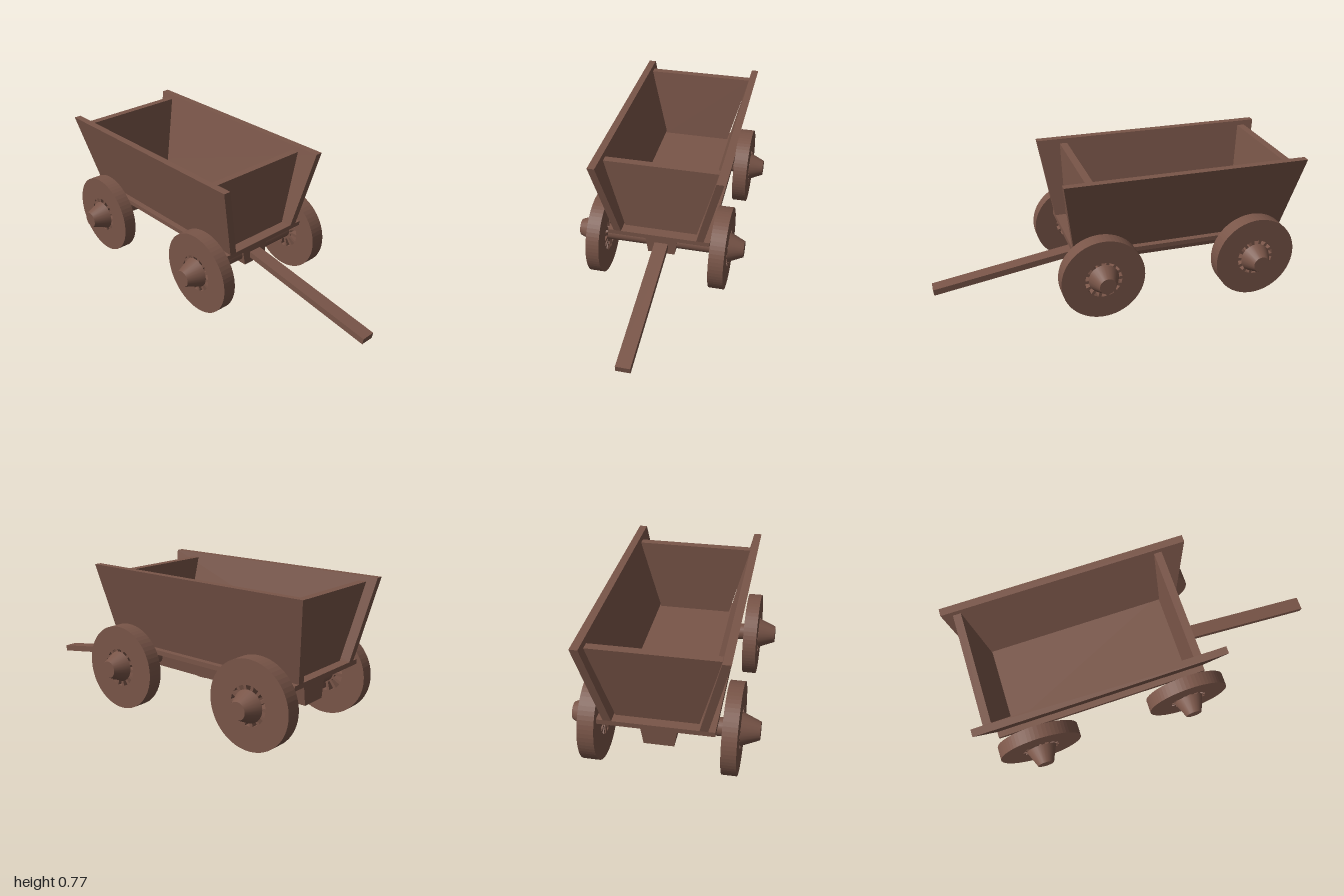
import * as THREE from 'three';

const wood = new THREE.MeshStandardMaterial({ color: 0x795548 });
wood.name = 'brownWood';

const MID_Z = -0.01; // centre line of the cart body

function add(parent, name, geometry) {
  const mesh = new THREE.Mesh(geometry, wood);
  mesh.name = name;
  parent.add(mesh);
  return mesh;
}

function extrude(points, depth) {
  const shape = new THREE.Shape(points.map(([a, b]) => new THREE.Vector2(a, b)));
  return new THREE.ExtrudeGeometry(shape, { depth, bevelEnabled: false });
}

// Lean a board: shift its z in proportion to height above the deck
function lean(geometry, slope, baseY) {
  const p = geometry.attributes.position;
  for (let i = 0; i < p.count; i++) p.setZ(i, p.getZ(i) + slope * (p.getY(i) - baseY));
  geometry.computeVertexNormals();
  return geometry;
}

// Disc with a ring of slots around the hub
function wheelGeometry(width) {
  const shape = new THREE.Shape().absarc(0, 0, 0.228, 0, Math.PI * 2, false);
  const slots = 14;
  for (let i = 0; i < slots; i++) {
    const a = ((i + 0.5) / slots) * Math.PI * 2;
    const polar = (r, t) => new THREE.Vector2(r * Math.cos(a + t), r * Math.sin(a + t));
    shape.holes.push(new THREE.Path([
      polar(0.055, -0.1), polar(0.055, 0.1), polar(0.102, 0.14), polar(0.102, -0.14),
    ]));
  }
  return new THREE.ExtrudeGeometry(shape, { depth: width, bevelEnabled: false, curveSegments: 32 });
}

export function createModel() {
  const cart = new THREE.Group();
  cart.name = 'woodenCart';

  // Deck
  add(cart, 'deck', new THREE.BoxGeometry(1.19, 0.025, 0.562)).position.set(-0.335, 0.3325, MID_Z);

  // Flared side boards
  const sideOutline = [[-0.93, 0.345], [0.26, 0.345], [0.33, 0.77], [-1, 0.77]];
  for (const side of [1, -1]) {
    const board = lean(extrude(sideOutline, 0.04), side * 0.247, 0.345);
    add(cart, side > 0 ? 'frontSideBoard' : 'backSideBoard', board)
      .position.z = MID_Z + (side > 0 ? 0.208 : -0.248);
  }

  // End boards, the tail one leaning outwards
  const endOutline = [[-0.2, 0.345], [0.2, 0.345], [0.308, 0.745], [-0.308, 0.745]];
  for (const [name, x, slope] of [['tailBoard', -0.88, -0.155], ['headBoard', 0.158, 0]]) {
    const board = add(cart, name, lean(extrude(endOutline, 0.042), slope, 0.345));
    board.rotation.y = Math.PI / 2;
    board.position.set(x, 0, MID_Z);
  }

  // Tapered beam under the deck
  const beam = add(cart, 'underBeam',
    extrude([[-0.075, 0.175], [0.075, 0.175], [0.098, 0.32], [-0.098, 0.32]], 1.05));
  beam.rotation.y = Math.PI / 2;
  beam.position.set(-0.86, 0, MID_Z);

  // Sloping draw bar
  const bar = add(cart, 'drawBar',
    extrude([[0.16, 0.212], [0.995, 0.078], [1, 0.112], [0.165, 0.247]], 0.076));
  bar.position.z = MID_Z - 0.038;

  // Axles, wheels and tapered hubs
  for (const [label, x, hubY] of [['rear', -0.735, 0.225], ['front', 0.133, 0.236]]) {
    const axle = add(cart, label + 'Axle', new THREE.CylinderGeometry(0.046, 0.046, 0.76, 24));
    axle.rotation.x = Math.PI / 2;
    axle.position.set(x, hubY, 0);
    for (const side of [1, -1]) {
      const width = side > 0 ? 0.073 : 0.082;
      const wheel = add(cart, label + 'Wheel', wheelGeometry(width));
      wheel.position.set(x, 0.228, side > 0 ? 0.3 : -0.3 - width);
      const outer = 0.3 + width;
      const hub = add(cart, label + 'Hub',
        new THREE.CylinderGeometry(0.045, 0.083, 0.465 - outer, 24));
      hub.rotation.x = side * Math.PI / 2;
      hub.position.set(x, hubY, side * (outer + 0.465) / 2);
    }
  }
  return cart;
}
